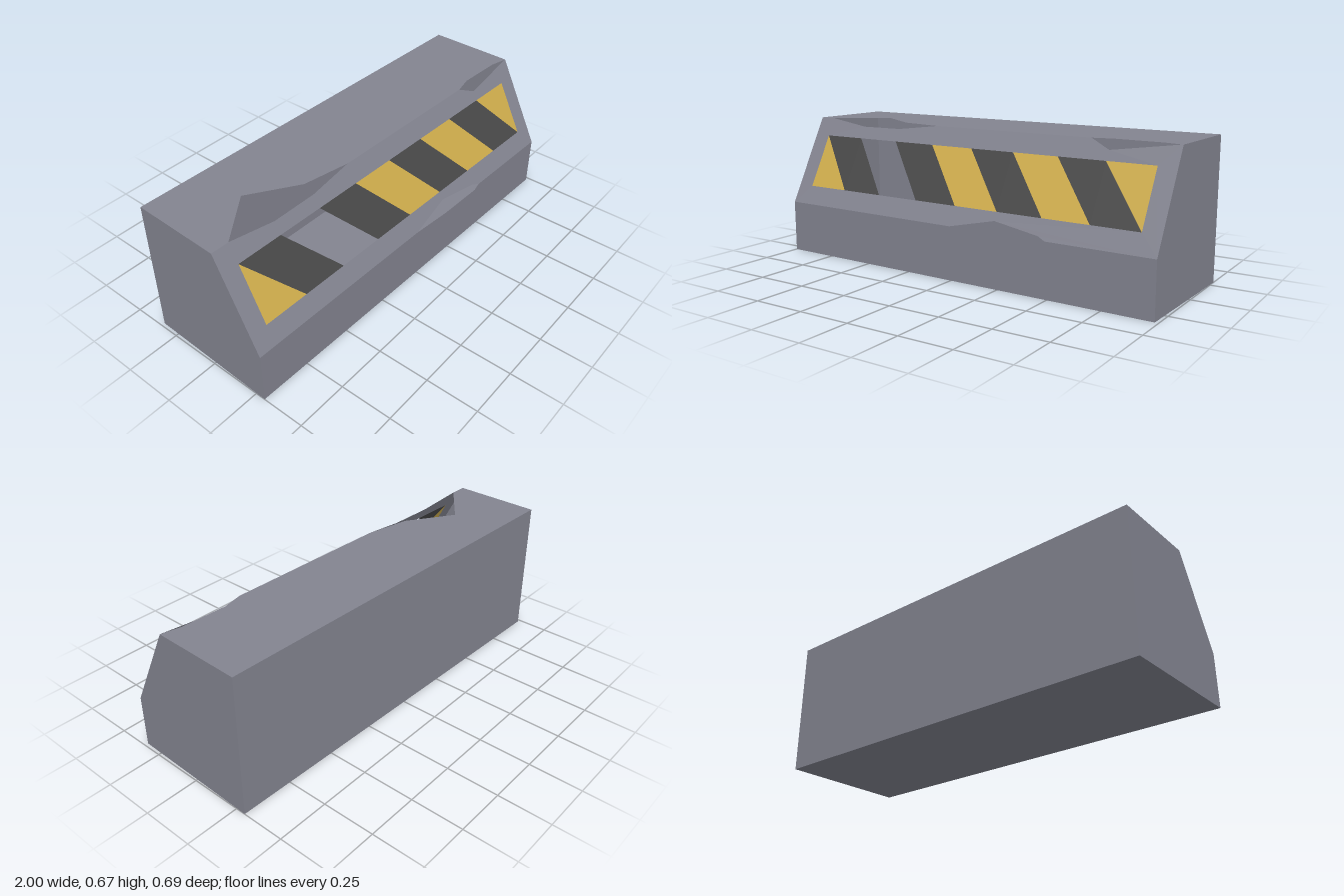
import * as THREE from 'three';

const L = 0.992, D = 0.322, H = 0.665;   // half length, half depth, height
const LIP = 0.25, TOP_Z = 0.104;         // foot of the slope, front edge of the top
const slopeZ = y => D - (y - LIP) * (D - TOP_Z) / (H - LIP);

const material = (name, color) =>
  new THREE.MeshStandardMaterial({ name, color, side: THREE.DoubleSide, flatShading: true });

export function createModel() {
  const concrete = material('concreteGrey', 0x838490);
  const yellow = material('warningYellow', 0xceac4c);
  const dark = material('stripeDark', 0x484848);

  const barrier = new THREE.Group();
  barrier.name = 'barrier';

  // Flat panel drawn in 2D, then moved into place
  const panel = (name, points, mat, place, hole) => {
    const toVectors = list => list.map(([x, y]) => new THREE.Vector2(x, y));
    const shape = new THREE.Shape(toVectors(points));
    if (hole) shape.holes.push(new THREE.Path(toVectors(hole)));
    const geometry = new THREE.ShapeGeometry(shape);
    place(geometry);
    geometry.computeVertexNormals();
    const mesh = new THREE.Mesh(geometry, mat);
    mesh.name = name;
    barrier.add(mesh);
  };

  // Placement rules
  const onSlope = g => {
    const p = g.attributes.position;
    for (let i = 0; i < p.count; i++) p.setZ(i, slopeZ(p.getY(i)));
  };
  const onFront = g => g.translate(0, 0, D);
  const onBack = g => g.rotateY(Math.PI).translate(0, 0, -D);
  const onTop = g => g.rotateX(-Math.PI / 2).translate(0, H, 0);   // 2D y is -z
  const onFloor = g => g.rotateX(Math.PI / 2);

  // Hollow shell: back, floor and ends
  panel('backWall', [[-L, 0], [L, 0], [L, H], [-L, H]], concrete, onBack);
  panel('floor', [[-L, -D], [L, -D], [L, D], [-L, D]], concrete, onFloor);
  const profile = [[-D, 0], [D, 0], [D, LIP], [TOP_Z, H], [-D, H]];
  panel('rightEnd', profile, concrete, g => g.rotateY(-Math.PI / 2).translate(-L, 0, 0));
  panel('leftEnd', profile.map(([z, y]) => [-z, y]), concrete,
    g => g.rotateY(Math.PI / 2).translate(L, 0, 0));

  // Top with two broken-out notches on its front edge
  panel('top', [
    [-L, D], [-L, -TOP_Z], [-0.906, -TOP_Z], [-0.68, 0.073], [-0.455, -0.066], [-0.228, -TOP_Z],
    [0.588, -TOP_Z], [0.682, -0.081], [0.9, -0.085], [0.988, -TOP_Z], [L, -TOP_Z], [L, D],
  ], concrete, onTop);

  // Lower front with the bottom half of the lip notch
  panel('lowerFront', [
    [-L, 0], [L, 0], [L, LIP], [0.495, LIP], [0.467, 0.231], [0.228, 0.232], [0.002, LIP], [-L, LIP],
  ], concrete, onFront);

  // Sloped front: notched top and bottom, open where the stripes sit
  const S = 0.906, Y0 = 0.335, Y1 = 0.58;
  panel('slopedFront', [
    [-L, LIP], [0.002, LIP], [0.228, 0.298], [0.457, 0.266], [0.495, LIP], [L, LIP],
    [L, H], [0.988, H], [0.682, 0.623], [0.588, H],
    [-0.228, H], [-0.455, 0.638], [-0.68, 0.636], [-0.906, H], [-L, H],
  ], concrete, onSlope, [[-S, Y0], [-S, Y1], [S, Y1], [S, Y0]]);

  // Slanted warning stripes; the second gap is broken through
  const edge = i => -S + THREE.MathUtils.clamp(i, 0, 8) * S / 4;
  for (let k = -1; k < 8; k++) {
    if (k === 1) continue;
    const corners = [[edge(k + 1), Y0], [edge(k + 2), Y0], [edge(k + 1), Y1], [edge(k), Y1]]
      .filter(([x, y], i, all) => i === 0 || x !== all[i - 1][0] || y !== all[i - 1][1]);
    panel(k % 2 ? 'yellowStripe' : 'darkStripe', corners, k % 2 ? yellow : dark, onSlope);
  }

  barrier.rotation.y = -0.0247;
  const model = new THREE.Group();
  model.name = 'damagedBarrier';
  model.add(barrier);
  return model;
}
